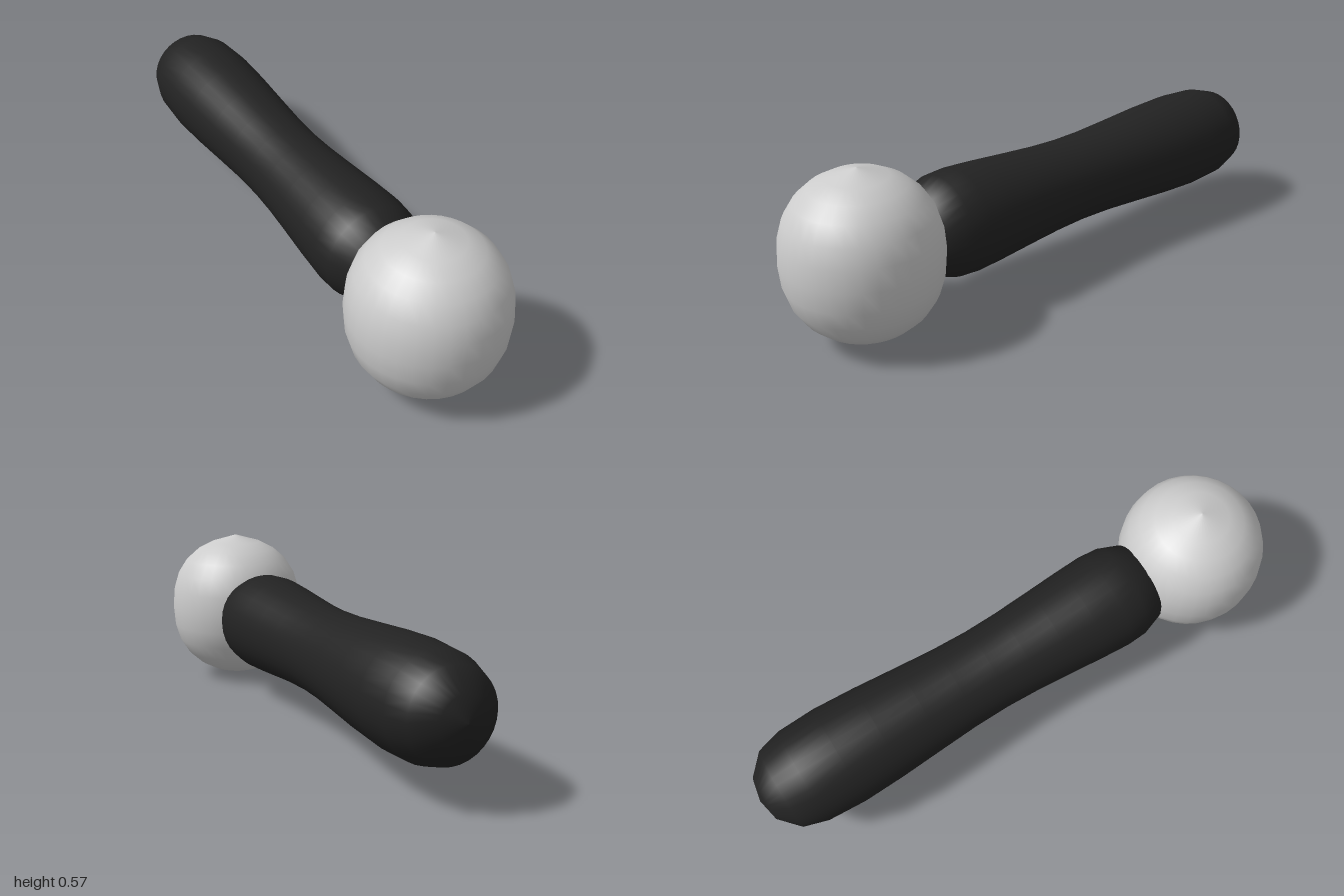
import * as THREE from 'three';

// Smooth solid of revolution from [radius, height] pairs, bottom to top
function turned(name, profile, segments, color) {
  const points = profile.map(([r, y]) => new THREE.Vector2(r, y));
  const mesh = new THREE.Mesh(
    new THREE.LatheGeometry(points, segments),
    new THREE.MeshStandardMaterial({ color })
  );
  mesh.name = name;
  return mesh;
}

export function createModel() {
  const model = new THREE.Group();
  model.name = 'ballHeadedHandle';

  // Round head: half profile mirrored above and below its equator
  const upper = [
    [0.252, 0.072], [0.233, 0.135], [0.199, 0.189],
    [0.153, 0.23], [0.097, 0.259], [0, 0.287],
  ];
  const lower = upper.map(([r, y]) => [r, -y]).reverse();
  const head = turned('head', [...lower, [0.258, 0], ...upper], 32, 0xcccccc);
  head.position.set(0, 0.288, 0.742);
  model.add(head);

  // Waisted grip lying along z, its front end sunk into the head
  const grip = turned('grip', [
    [0, -1], [0.08, -0.982], [0.147, -0.92], [0.172, -0.835], [0.179, -0.7],
    [0.173, -0.55], [0.162, -0.39], [0.153, -0.25], [0.15, -0.12],
    [0.154, 0], [0.163, 0.13], [0.173, 0.26], [0.179, 0.365],
    [0.174, 0.44], [0.147, 0.515], [0.08, 0.575], [0, 0.6],
  ], 32, 0x222222);
  grip.geometry.rotateX(Math.PI / 2);
  grip.position.y = 0.282;
  model.add(grip);

  return model;
}
